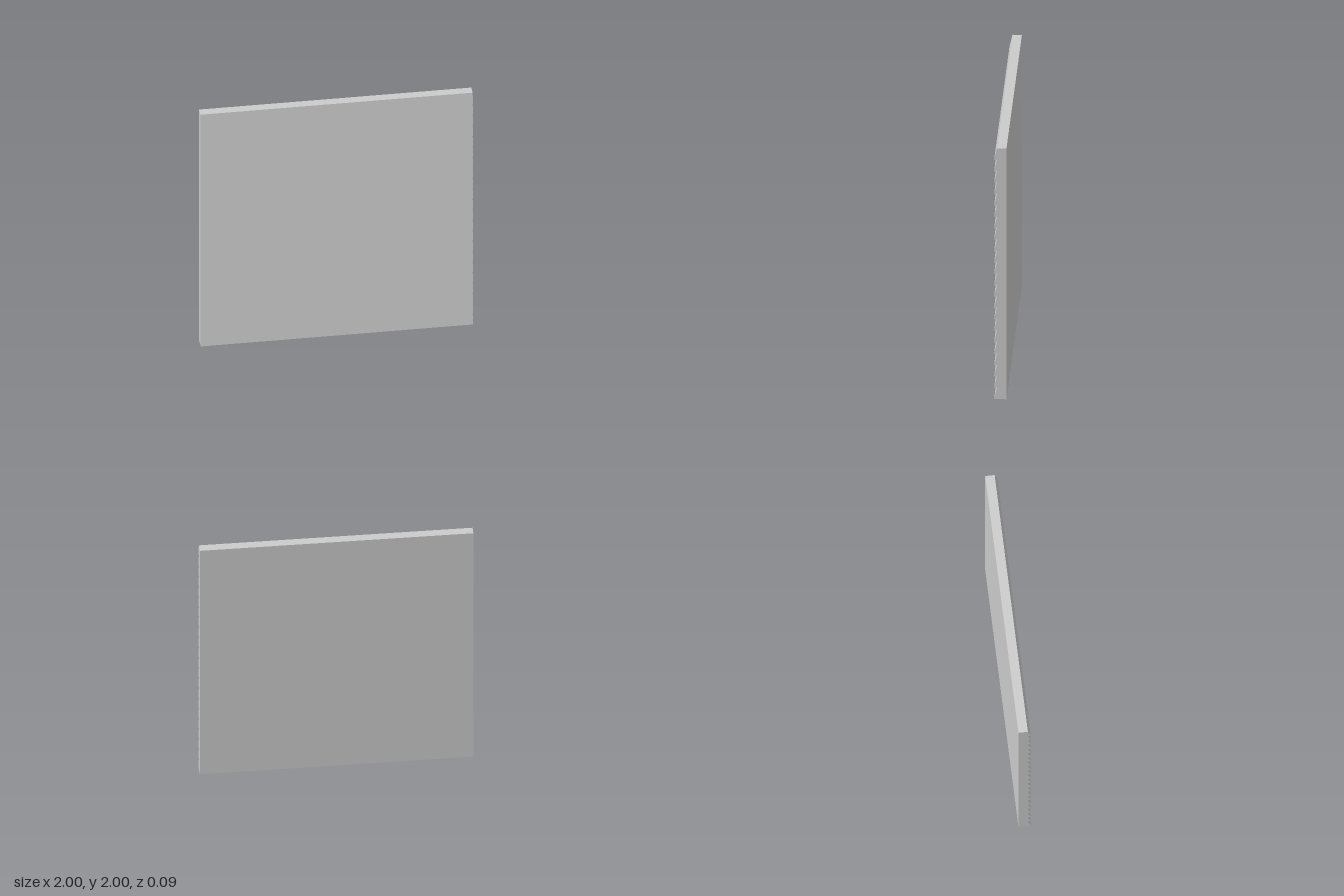
import * as THREE from 'three';

const WIDTH = 2, HEIGHT = 2, BOARDS = 22;
const BACK = -0.045, LIP = 0.045, RECESS = 0.024;

export function createModel() {
  const group = new THREE.Group();
  group.name = 'sidingPanel';

  // Side profile drawn as (z, y): flat back, saw-tooth front of lapped boards
  const profile = new THREE.Shape();
  profile.moveTo(BACK, 0);
  const step = HEIGHT / BOARDS;
  for (let i = 0; i < BOARDS; i++) {
    profile.lineTo(LIP, i * step);
    profile.lineTo(RECESS, (i + 1) * step);
  }
  profile.lineTo(BACK, HEIGHT);
  profile.closePath();

  // Extrude along the width, then turn so the profile's first axis becomes z
  const geometry = new THREE.ExtrudeGeometry(profile, { depth: WIDTH, bevelEnabled: false });
  geometry.translate(0, 0, -WIDTH / 2);
  geometry.rotateY(-Math.PI / 2);

  const material = new THREE.MeshStandardMaterial({ color: 0xcccccc, flatShading: true });
  const panel = new THREE.Mesh(geometry, material);
  panel.name = 'lappedBoards';
  group.add(panel);
  return group;
}
